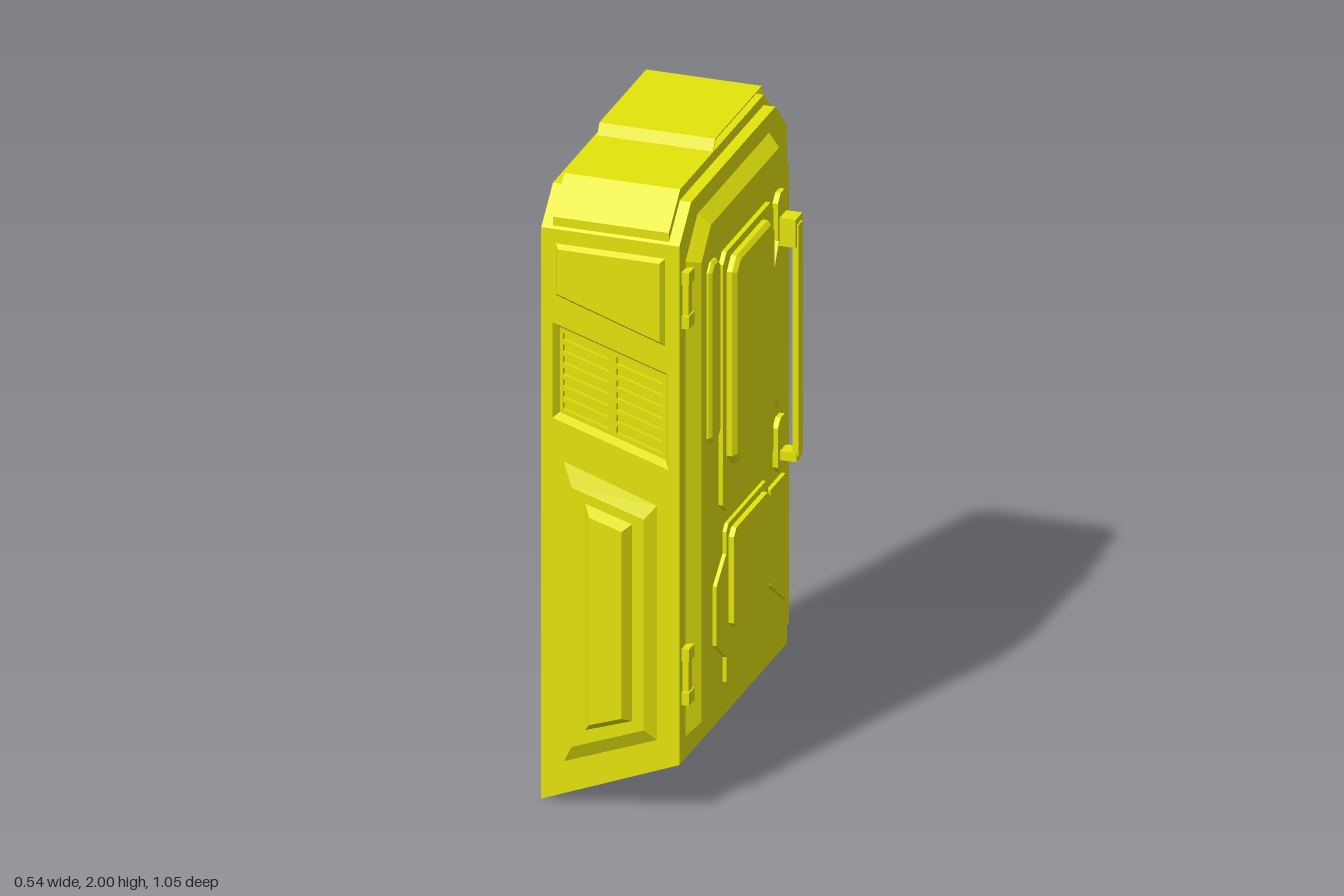
import * as THREE from 'three';

const yellow = new THREE.MeshStandardMaterial({ color: 0xe4e40c, side: THREE.DoubleSide });
yellow.name = 'yellow paint';
yellow.flatShading = true;

// Drawing planes: 2D outline plus height -> 3D; s is the handedness
const frontPlane = { f: (u, v, h) => [u, v, h], s: 1 };
const backPlane = { f: (u, v, h) => [u, v, -h], s: -1 };
const doorPlane = { f: (u, v, h) => [h, v, u], s: -1 };
const innerPlane = { f: doorPlane.f, s: 1 };

const area = p => p.reduce((a, q, i) => {
  const r = p[(i + 1) % p.length];
  return a + q[0] * r[1] - r[0] * q[1];
}, 0);
const ccw = p => (area(p) < 0 ? [...p].reverse() : p);

// Move every edge of an outline inwards by d
function inset(points, d) {
  const p = ccw(points), n = p.length;
  const normal = (a, b) => {
    const l = Math.hypot(b[0] - a[0], b[1] - a[1]);
    return [-(b[1] - a[1]) / l, (b[0] - a[0]) / l];
  };
  return p.map((q, i) => {
    const m = normal(p[(i + n - 1) % n], q), k = normal(q, p[(i + 1) % n]);
    const t = d / (1 + m[0] * k[0] + m[1] * k[1]);
    return [q[0] + (m[0] + k[0]) * t, q[1] + (m[1] + k[1]) * t];
  });
}

// Rectangle with cut corners
function cutRect(u0, u1, v0, v1, c) {
  return [[u0 + c, v0], [u1 - c, v0], [u1, v0 + c], [u1, v1 - c],
    [u1 - c, v1], [u0 + c, v1], [u0, v1 - c], [u0, v0 + c]];
}

// Join [outline, height] rings by side faces and cap the last one, leaving holes
function loft(name, plane, rings, holes = []) {
  const pos = [];
  const tri = (a, b, c) => pos.push(...a, ...(plane.s > 0 ? [...b, ...c] : [...c, ...b]));
  const loops = rings.map(([p, h]) => ccw(p).map(q => plane.f(q[0], q[1], h)));
  for (let k = 0; k + 1 < loops.length; k++) {
    const A = loops[k], B = loops[k + 1];
    A.forEach((a, i) => {
      const j = (i + 1) % A.length;
      tri(a, A[j], B[j]);
      tri(a, B[j], B[i]);
    });
  }
  const [outline, h] = rings[rings.length - 1];
  const contour = ccw(outline), cut = holes.map(x => [...ccw(x)].reverse());
  const all = [contour, ...cut].flat();
  const vec = p => p.map(q => new THREE.Vector2(...q));
  for (const t of THREE.ShapeUtils.triangulateShape(vec(contour), cut.map(vec))) {
    tri(...ccw(t.map(i => all[i])).map(q => plane.f(q[0], q[1], h)));
  }
  return meshFrom(name, pos);
}

function meshFrom(name, pos) {
  const g = new THREE.BufferGeometry();
  g.setAttribute('position', new THREE.Float32BufferAttribute(pos, 3));
  g.computeVertexNormals();
  const m = new THREE.Mesh(g, yellow);
  m.name = name;
  return m;
}

// Bent sheet: a [z, y] path swept along x
function strip(name, path, x0, x1) {
  const pos = [];
  for (let i = 0; i + 1 < path.length; i++) {
    const [z, y] = path[i], [w, v] = path[i + 1];
    pos.push(x0, y, z, x1, y, z, x1, v, w, x0, y, z, x1, v, w, x0, v, w);
  }
  return meshFrom(name, pos);
}

function box(name, x0, x1, y0, y1, z0, z1) {
  const m = new THREE.Mesh(new THREE.BoxGeometry(x1 - x0, y1 - y0, z1 - z0), yellow);
  m.position.set((x0 + x1) / 2, (y0 + y1) / 2, (z0 + z1) / 2);
  m.name = name;
  return m;
}

// One side wall with window plate, grille and raised lower panel
function sideWall(name, plane) {
  const g = new THREE.Group();
  g.name = name;
  const Z = 0.473;
  const wall = [[-0.27, 0], [0.16, 0.17], [0.16, 1.83], [-0.27, 1.83]];
  const pane = [[-0.225, 1.785], [0.115, 1.785], [0.115, 1.505], [-0.225, 1.62]];
  const grille = [[-0.235, 1.53], [0.125, 1.415], [0.125, 1.11], [-0.235, 1.225]];
  const panel = [[-0.2, 1.09], [0.09, 0.99], [0.09, 0.24], [-0.2, 0.13]];
  const plateau = [[-0.167, 1.02], [0.057, 0.95], [0.057, 0.275], [-0.167, 0.19]];
  const ridge = [[-0.125, 0.975], [0.02, 0.93], [0.02, 0.3], [-0.125, 0.25]];
  g.add(loft('wallSheet', plane, [[wall, Z]], [pane, grille, panel]));
  g.add(loft('windowPlate', plane, [[pane, Z], [inset(pane, 0.012), Z + 0.016]]));

  // Grille: recessed plate with two columns of sloping slots
  const slots = [];
  for (const [a, b] of [[-0.21, -0.067], [-0.043, 0.1]]) {
    for (let k = -3; k <= 3; k++) {
      const y = x => 1.377 - 0.32 * (x + 0.235) + k * 0.037;
      slots.push([[a, y(a) - 0.011], [b, y(b) - 0.011], [b, y(b) + 0.011], [a, y(a) + 0.011]]);
    }
  }
  g.add(loft('grillePlate', plane, [[grille, Z], [inset(grille, 0.015), Z - 0.022]], slots));
  slots.forEach(s => g.add(loft('grilleSlot', plane, [[s, Z - 0.022], [s, Z - 0.034]])));

  // Hollow lower panel with a central ridge
  g.add(loft('lowerPanel', plane, [[panel, Z], [plateau, Z + 0.023]]));
  g.add(loft('lowerRidge', plane, [[ridge, Z + 0.023], [inset(ridge, 0.022), Z + 0.052]]));
  return g;
}

function door() {
  const g = new THREE.Group();
  g.name = 'door';
  const X = 0.197;
  const wall = [[-0.473, 0.17], [0.473, 0.17], [0.473, 1.83], [0.37, 1.93], [-0.37, 1.93], [-0.473, 1.83]];
  const leaf = [[-0.42, 0.24], [0.42, 0.24], [0.42, 1.76], [0.315, 1.87], [-0.315, 1.87], [-0.42, 1.76]];
  g.add(loft('doorFrame', doorPlane, [[wall, 0.16]], [leaf]));
  g.add(loft('doorLeaf', doorPlane, [[leaf, 0.16], [inset(leaf, 0.036), X]]));
  g.add(loft('doorInnerFace', innerPlane, [[leaf, 0.16]]));

  // Raised plate with straight sides, or with a bevelled rim
  const plate = (name, p, x, bevel = 0) => {
    const rim = bevel ? [[p, x - bevel], [inset(p, bevel), x]] : [[p, x]];
    g.add(loft(name, doorPlane, [[p, X], ...rim]));
  };

  // Upper plate, window and the strips beside it
  plate('upperPlate', [[0.235, 1.68], [0.205, 1.71], [-0.18, 1.71], [-0.205, 1.68], [-0.205, 1.58],
    [-0.165, 1.5], [-0.165, 1.1], [-0.205, 1.03], [-0.205, 0.91], [-0.18, 0.88], [0.205, 0.88], [0.235, 0.91]], 0.212);
  plate('doorWindow', cutRect(-0.147, 0.205, 1.02, 1.685, 0.038), 0.241, 0.012);
  plate('sideStrip', [[-0.222, 1.57], [-0.175, 1.49], [-0.175, 1.1], [-0.222, 1.04]], 0.224);
  plate('verticalBar', cutRect(0.25, 0.34, 1.14, 1.72, 0.025), 0.212, 0.009);

  // Lower plates
  plate('lowerPlate', [[0.2, 0.81], [0.18, 0.83], [-0.15, 0.83], [-0.168, 0.81], [-0.168, 0.45],
    [-0.26, 0.4], [-0.26, 0.33], [0.2, 0.33], [0.2, 0.41], [0.285, 0.48], [0.285, 0.67], [0.2, 0.74]], 0.209);
  plate('lowerSquare', cutRect(-0.14, 0.18, 0.49, 0.81, 0.022), 0.226);
  plate('cornerPlate', [[-0.185, 0.785], [-0.32, 0.785], [-0.32, 0.38], [-0.185, 0.48]], 0.21);

  // Handle on two mounts
  plate('handleMountTop', cutRect(-0.325, -0.24, 1.535, 1.705, 0.025), 0.214);
  plate('handleMountBottom', cutRect(-0.325, -0.24, 0.81, 0.985, 0.025), 0.214);
  g.add(box('handleBar', 0.25, 0.269, 0.87, 1.61, -0.303, -0.265));
  g.add(box('handlePostTop', X, 0.264, 1.54, 1.63, -0.314, -0.255));
  g.add(box('handlePostBottom', X, 0.264, 0.852, 0.882, -0.31, -0.26));

  // Hinges
  for (const y of [1.65, 0.445]) {
    g.add(box('hingeWaist', 0.145, 0.178, y - 0.055, y + 0.055, 0.415, 0.445));
    for (const s of [-1, 1]) {
      const c = y + s * 0.07;
      g.add(box('hingeKnuckle', 0.145, 0.183, c - 0.02, c + 0.02, 0.407, 0.455));
    }
  }
  return g;
}

function roof() {
  const g = new THREE.Group();
  g.name = 'roof';
  g.add(strip('roofSheet', [[0.473, 1.83], [0.37, 1.93], [-0.37, 1.93], [-0.473, 1.83]], -0.27, 0.16));
  const cover = [[0.467, 1.838], [0.467, 1.866], [0.367, 1.965], [-0.367, 1.965], [-0.467, 1.866],
    [-0.467, 1.838], [-0.37, 1.932], [0.37, 1.932]];
  g.add(loft('roofCover', doorPlane, [[cover, -0.235], [cover, 0.125]]));
  g.add(loft('roofCoverEnd', innerPlane, [[cover, -0.235]]));
  // Thin bent hatch plate, open at both ends
  const hatch = [[0.08, 1.967], [0.06, 2], [-0.35, 2], [-0.367, 1.967], [-0.362, 1.967],
    [-0.347, 1.996], [0.057, 1.996], [0.075, 1.967]];
  g.add(loft('roofHatch', doorPlane, [[hatch, -0.235], [hatch, 0.125]]));
  g.add(loft('roofHatchEnd', innerPlane, [[hatch, -0.235]]));
  return g;
}

// Floor plate and hollow wedge feet
function base() {
  const g = new THREE.Group();
  g.name = 'base';
  const x0 = 0.069, y0 = 0.17 - (0.16 - x0) * 0.17 / 0.43;
  const sheet = (name, z0, z1, a, ya, b, yb) => g.add(meshFrom(name, [
    a, ya, z0, b, yb, z0, b, yb, z1, a, ya, z0, b, yb, z1, a, ya, z1]));
  sheet('frontSill', -0.473, 0.473, x0, y0, 0.16, 0.17);
  sheet('floor', -0.3, 0.3, -0.27, y0, x0, y0);
  sheet('footSole', 0.3, 0.473, -0.27, 0, x0, y0);
  sheet('footSole', -0.473, -0.3, -0.27, 0, x0, y0);
  const side = [[-0.27, 0], [x0, y0], [-0.27, y0]];
  g.add(loft('footInnerWall', frontPlane, [[side, -0.3]]));
  g.add(loft('footInnerWall', backPlane, [[side, -0.3]]));
  return g;
}

export function createModel() {
  const model = new THREE.Group();
  model.name = 'doorBooth';
  model.add(sideWall('frontWall', frontPlane), sideWall('backWall', backPlane), door(), roof(), base());
  return model;
}
